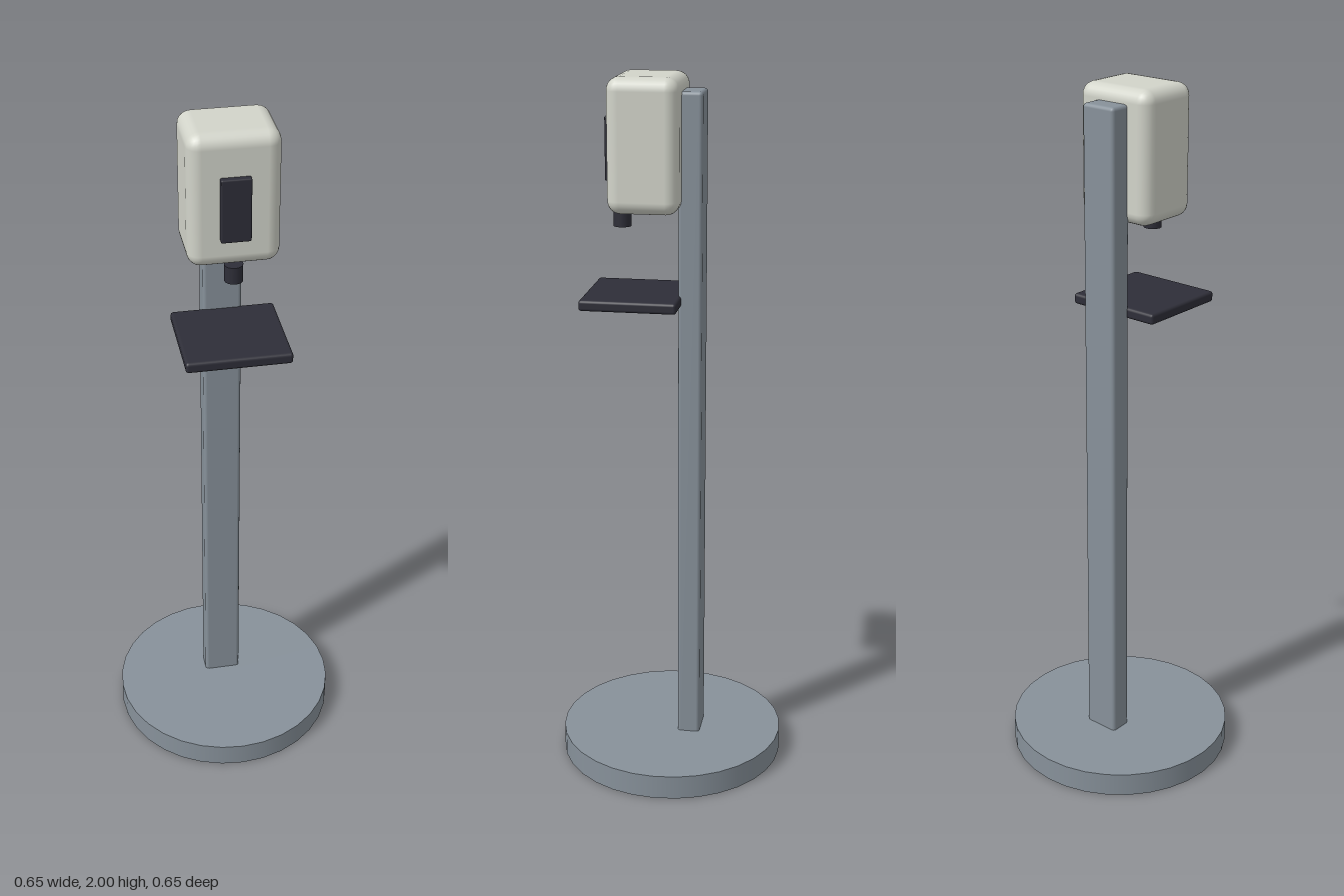
import * as THREE from 'three';
import { RoundedBoxGeometry } from 'three/addons/geometries/RoundedBoxGeometry.js';

const paint = (name, color) => {
  const m = new THREE.MeshStandardMaterial({ color });
  m.name = name;
  return m;
};

export function createModel() {
  const grey = paint('steel grey', 0x87919a);
  const cream = paint('warm white', 0xd2d4ca);
  const dark = paint('charcoal', 0x2e2e38);

  const model = new THREE.Group();
  model.name = 'dispenserStand';

  const add = (name, geometry, material, x, y, z) => {
    const mesh = new THREE.Mesh(geometry, material);
    mesh.name = name;
    mesh.position.set(x, y, z);
    model.add(mesh);
  };

  // Rounded block given by half width, y range, z range and edge radius
  const block = (name, material, hx, y0, y1, z0, z1, r, segments = 2) =>
    add(name, new RoundedBoxGeometry(hx * 2, y1 - y0, z1 - z0, segments, r),
      material, 0, (y0 + y1) / 2, (z0 + z1) / 2);

  // Round floor plate and upright
  add('base', new THREE.CylinderGeometry(0.325, 0.325, 0.07, 32), grey, 0, 0.035, 0);
  block('post', grey, 0.053, 0.05, 1.96, -0.09, -0.024, 0.01);

  // Dispenser housing with its front window and nozzle
  block('housing', cream, 0.12, 1.638, 2, -0.034, 0.162, 0.036, 3);
  block('window', dark, 0.039, 1.717, 1.89, 0.15, 0.178, 0.004);
  add('nozzle', new THREE.CylinderGeometry(0.025, 0.025, 0.047, 16), dark, 0, 1.612, 0.138);

  // Drip tray
  block('tray', dark, 0.142, 1.378, 1.408, -0.033, 0.236, 0.008);

  return model;
}
